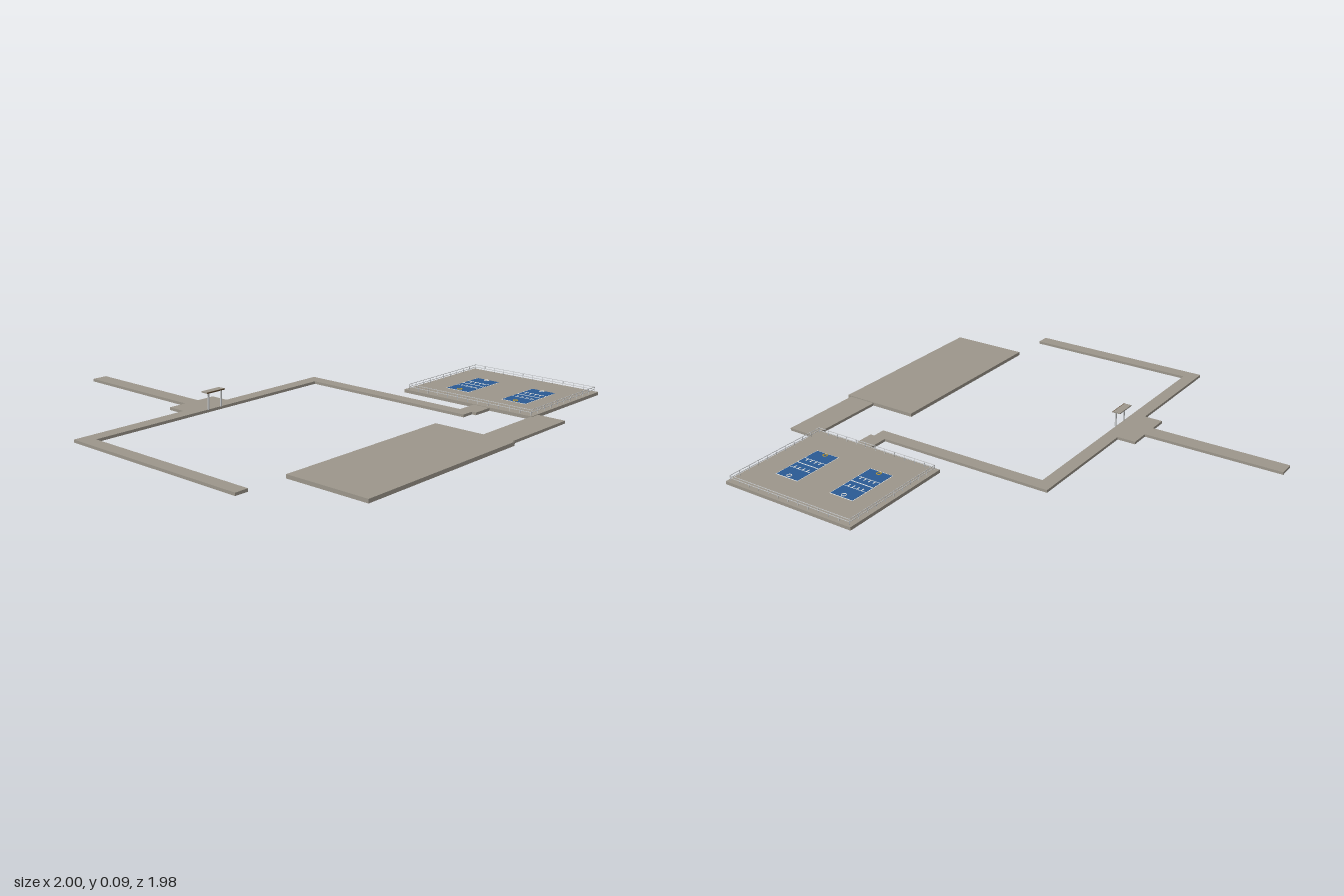
import * as THREE from 'three';

const mat = (name, color) => {
  const m = new THREE.MeshStandardMaterial({ color });
  m.name = name;
  return m;
};

export function createModel() {
  const paving = mat('paving', 0x9c968b);
  const blue = mat('courtBlue', 0x2a5a94);
  const white = mat('lineWhite', 0xf0f0ee);
  const steel = mat('fenceSteel', 0xc4c6c8);
  const gold = mat('gold', 0xd9a520);
  const brown = mat('gateBrown', 0x5a4630);

  const model = new THREE.Group();
  model.name = 'sitePlan';

  // box from its min and max corners
  const box = (parent, name, m, x0, x1, y0, y1, z0, z1) => {
    const b = new THREE.Mesh(new THREE.BoxGeometry(x1 - x0, y1 - y0, z1 - z0), m);
    b.position.set((x0 + x1) / 2, (y0 + y1) / 2, (z0 + z1) / 2);
    b.name = name;
    parent.add(b);
    return b;
  };

  // paved slabs: x range, z range, top
  const slabs = [
    ['rightPath', -1, -0.94, -0.21, 0.615, 0.012],
    ['backPathRight', -1, -0.445, -0.27, -0.21, 0.012],
    ['gatePlaza', -0.445, -0.2, -0.355, -0.21, 0.012],
    ['backPathLeft', -0.2, 0.36, -0.27, -0.21, 0.012],
    ['leftPath', 0.3, 0.36, -0.21, 0.615, 0.012],
    ['courtConnector', 0.36, 0.457, 0.555, 0.635, 0.012],
    ['entrancePath', -0.36, -0.288, -0.99, -0.355, 0.012],
    ['mainPlaza', -0.755, 0.108, 0.615, 0.985, 0.016],
    ['frontPath', 0.108, 0.503, 0.835, 0.968, 0.012],
    ['courtPad', 0.457, 1, 0.185, 0.84, 0.014],
  ];
  for (const [name, x0, x1, z0, z1, top] of slabs) box(model, name, paving, x0, x1, 0, top, z0, z1);

  // gate: two slim posts under a flat roof
  const gate = new THREE.Group();
  gate.name = 'gate';
  model.add(gate);
  for (const x of [-0.36, -0.288]) box(gate, 'gatePost', steel, x - 0.003, x + 0.003, 0.012, 0.083, -0.212, -0.206);
  box(gate, 'gateRoof', paving, -0.372, -0.272, 0.083, 0.088, -0.238, -0.204);
  box(gate, 'gateTrim', brown, -0.372, -0.272, 0.083, 0.088, -0.204, -0.201);

  // two sports courts with white markings and a hoop at each end
  const court = (zc) => {
    const g = new THREE.Group();
    g.name = 'court';
    g.position.set(0.725, 0.014, zc);
    model.add(g);
    box(g, 'courtBorder', white, -0.122, 0.122, 0, 0.001, -0.06, 0.06);
    box(g, 'courtFloor', blue, -0.119, 0.119, 0.001, 0.002, -0.057, 0.057);
    box(g, 'centreLine', white, -0.002, 0.002, 0.002, 0.003, -0.057, 0.057);
    for (const s of [-1, 1]) {
      const x = s * 0.035;
      for (const z of [-0.035, -0.012, 0.012, 0.035])
        box(g, 'courtMark', white, x - 0.009, x + 0.009, 0.002, 0.003, z - 0.0025, z + 0.0025);
      box(g, 'keyLine', white, s * 0.044 - 0.001, s * 0.044 + 0.001, 0.002, 0.003, -0.057, 0.057);
      const ring = new THREE.Mesh(new THREE.TorusGeometry(0.01, 0.0018, 6, 16), s < 0 ? gold : white);
      ring.rotation.x = Math.PI / 2;
      ring.position.set(s * 0.105, 0.003, 0);
      ring.name = 'courtRing';
      g.add(ring);
    }
  };
  court(0.368);
  court(0.658);

  // fence: thin posts and rails round the court pad
  const fence = new THREE.Group();
  fence.name = 'fence';
  model.add(fence);
  const X0 = 0.471, X1 = 0.986, Z0 = 0.2, Z1 = 0.828, r = 0.001;
  const post = (x, z) => box(fence, 'fencePost', steel, x - r, x + r, 0.014, 0.038, z - r, z + r);
  for (let i = 0; i <= 10; i++) {
    const x = X0 + (X1 - X0) * i / 10;
    post(x, Z0);
    post(x, Z1);
  }
  for (let i = 1; i < 12; i++) {
    const z = Z0 + (Z1 - Z0) * i / 12;
    post(X0, z);
    post(X1, z);
  }
  for (const y of [0.026, 0.037]) {
    for (const z of [Z0, Z1]) box(fence, 'fenceRail', steel, X0, X1, y - r, y + r, z - r, z + r);
    for (const x of [X0, X1]) box(fence, 'fenceRail', steel, x - r, x + r, y - r, y + r, Z0, Z1);
  }
  return model;
}
